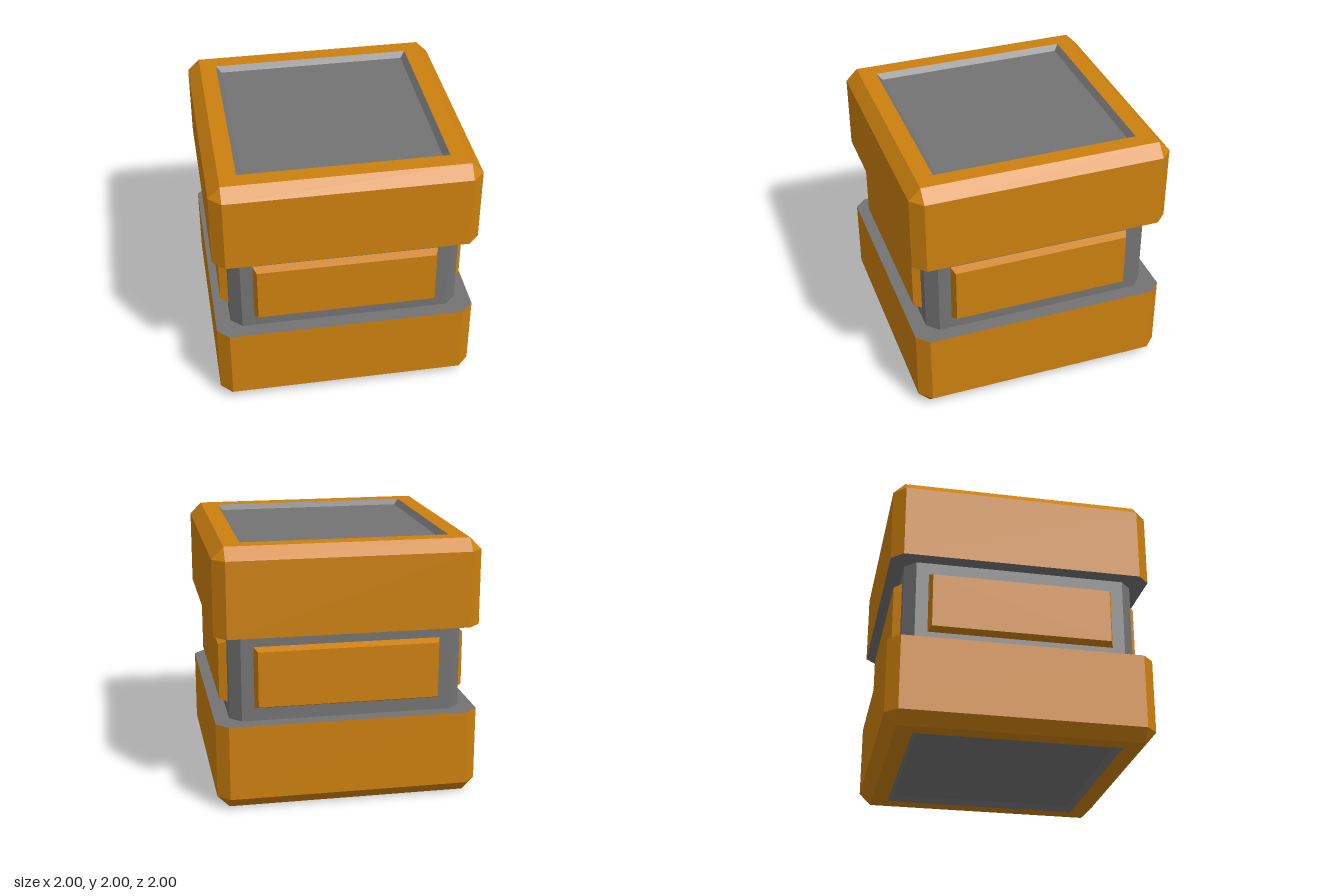
import * as THREE from 'three';

const orange = new THREE.MeshStandardMaterial({ color: 0xcc800e, flatShading: true });
const grey = new THREE.MeshStandardMaterial({ color: 0x737373, flatShading: true });

// Rectangle with cut corners at height y: half sizes hx and hz, corner cut c
function ring([hx, hz, c, y]) {
  return [
    [hx - c, hz], [hx, hz - c], [hx, c - hz], [hx - c, -hz],
    [c - hx, -hz], [-hx, c - hz], [-hx, hz - c], [c - hx, hz],
  ].map(([x, z]) => new THREE.Vector3(x, y, z));
}

// Flat-faced skin through successive rings, skipping collapsed triangles
function loft(sections) {
  const rings = sections.map(ring);
  const points = [];
  const addTriangle = (a, b, c) => {
    if (new THREE.Triangle(a, b, c).getArea() > 1e-7) points.push(a, b, c);
  };
  for (let r = 0; r < rings.length - 1; r++) {
    for (let i = 0; i < 8; i++) {
      const j = (i + 1) % 8;
      addTriangle(rings[r][i], rings[r][j], rings[r + 1][j]);
      addTriangle(rings[r][i], rings[r + 1][j], rings[r + 1][i]);
    }
  }
  const geometry = new THREE.BufferGeometry().setFromPoints(points);
  geometry.computeVertexNormals();
  return geometry;
}

function part(name, geometry, material) {
  const mesh = new THREE.Mesh(geometry, material);
  mesh.name = name;
  return mesh;
}

// Upper half shell, measured from the middle of the block
function createCap(name) {
  const cap = new THREE.Group();
  cap.name = name;
  cap.add(
    part('shell', loft([
      [1, 1, 0.09, 0.335], [1, 1, 0.09, 0.91], [0.91, 0.91, 0, 1], [0.78, 0.78, 0, 1],
    ]), orange),
    part('recess', loft([
      [0.78, 0.78, 0, 1], [0.74, 0.74, 0, 0.96], [0, 0, 0, 0.96],
    ]), grey),
    part('ledge', loft([[0.885, 0.885, 0.085, 0.335], [1, 1, 0.09, 0.335]]), grey),
  );
  cap.position.y = 1;
  return cap;
}

export function createModel() {
  const model = new THREE.Group();
  model.name = 'crate';

  // Matching caps, the lower one turned over
  const bottom = createCap('bottomCap');
  bottom.rotation.x = Math.PI;
  model.add(createCap('topCap'), bottom);

  // Narrow waist between the caps
  model.add(part('core', loft([
    [0.885, 0.885, 0.085, 0.665], [0.885, 0.885, 0.085, 1.335],
  ]), grey));

  // One bevelled panel on each side of the waist
  const panelGeometry = loft([
    [0.705, 0.2375, 0, 0.885], [0.68, 0.2125, 0, 0.945], [0, 0, 0, 0.945],
  ]).rotateX(Math.PI / 2);
  ['front', 'left', 'back', 'right'].forEach((side, i) => {
    const panel = part(side + 'Panel', panelGeometry, orange);
    panel.position.y = 1;
    panel.rotation.y = i * Math.PI / 2;
    model.add(panel);
  });
  return model;
}
